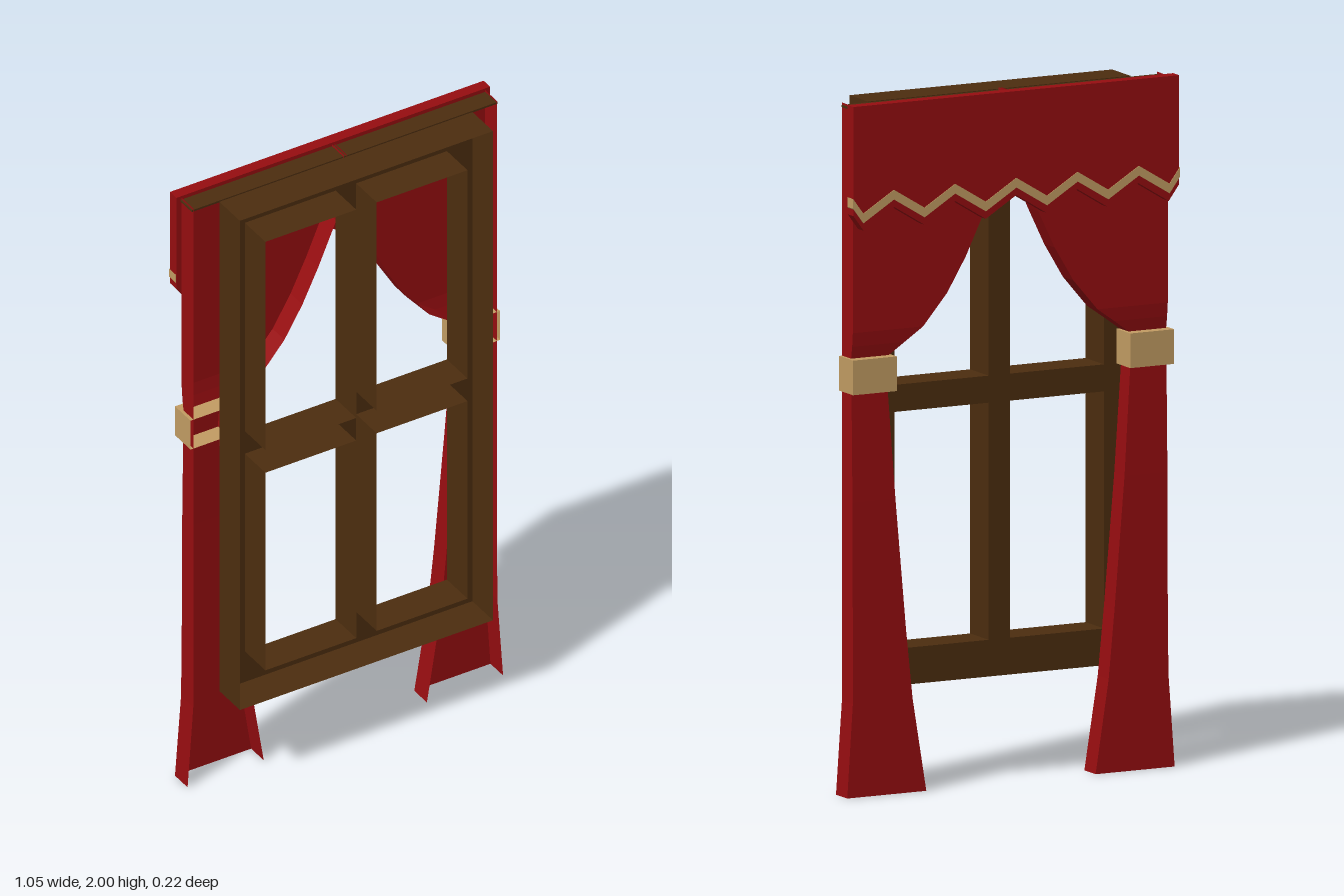
import * as THREE from 'three';

const mat = (name, color) => {
  const m = new THREE.MeshStandardMaterial({ color, side: THREE.DoubleSide });
  m.name = name;
  return m;
};

// Flat-shaded surface through rows of 3D points
function loft(rows) {
  const p = [];
  for (let i = 0; i + 1 < rows.length; i++) {
    for (let j = 0; j + 1 < rows[i].length; j++) {
      const a = rows[i][j], b = rows[i][j + 1], c = rows[i + 1][j + 1], d = rows[i + 1][j];
      p.push(...a, ...b, ...c, ...a, ...c, ...d);
    }
  }
  const g = new THREE.BufferGeometry();
  g.setAttribute('position', new THREE.Float32BufferAttribute(p, 3));
  g.computeVertexNormals();
  return g;
}

const rect = (x0, y0, x1, y1) => [[x0, y0], [x1, y0], [x1, y1], [x0, y1]];

// Wall along a closed outline from z0 to z1
const rim = (pts, z0, z1) =>
  loft([z0, z1].map(z => [...pts, pts[0]].map(([x, y]) => [x, y, z])));

const shapeOf = pts => new THREE.Shape(pts.map(([x, y]) => new THREE.Vector2(x, y)));

export function createModel() {
  const root = new THREE.Group();
  root.name = 'curtainedWindow';
  const wood = mat('darkWood', 0x4c2d0f);
  const cloth = mat('redCloth', 0x960d10);
  const trim = mat('tanTrim', 0xc29c63);

  const add = (parent, name, geo, material) => {
    const m = new THREE.Mesh(geo, material);
    m.name = name;
    parent.add(m);
    return m;
  };

  // Window frame: plate with four panes, walls open toward the front
  const frame = new THREE.Group();
  frame.name = 'windowFrame';
  root.add(frame);
  const zBack = -0.003, zFront = 0.108;
  const outline = rect(-0.422, 0.297, 0.422, 1.99);
  const plate = shapeOf(outline);
  add(frame, 'frameOuterWall', rim(outline, zBack, zFront), wood);
  for (const [x0, x1] of [[-0.337, -0.034], [0.034, 0.337]]) {
    for (const [y0, y1] of [[0.403, 1.087], [1.165, 1.886]]) {
      const pane = rect(x0, y0, x1, y1);
      plate.holes.push(shapeOf(pane));
      add(frame, 'paneWall', rim(pane, zBack, zFront), wood);
    }
  }
  add(frame, 'framePlate', new THREE.ShapeGeometry(plate).translate(0, 0, zBack), wood);

  // Thin board over the curtains
  add(root, 'curtainBoard', new THREE.BoxGeometry(1.02, 0.006, 0.062).translate(0, 1.986, -0.04), wood);

  // Curtains: U-shaped cross-sections, [y, inner x, outer x, back z]
  const rows = [
    [0, 0.272, 0.526, -0.074], [0.27, 0.315, 0.507, -0.072], [0.47, 0.335, 0.506, -0.07],
    [0.85, 0.368, 0.506, -0.068], [1.17, 0.39, 0.506, -0.062], [1.265, 0.385, 0.506, -0.06],
    [1.30, 0.337, 0.506, -0.066], [1.34, 0.28, 0.506, -0.07], [1.43, 0.203, 0.506, -0.07],
    [1.53, 0.143, 0.506, -0.07], [1.64, 0.09, 0.506, -0.07], [1.78, 0.03, 0.506, -0.07],
    [1.995, 0.004, 0.506, -0.07],
  ];
  for (const s of [1, -1]) {
    const side = s > 0 ? 'left' : 'right';
    add(root, side + 'Curtain', loft(rows.map(([y, xi, xo, z]) =>
      [[s * xi, y, -0.006], [s * xi, y, z], [s * xo, y, z], [s * xo, y, -0.006]])), cloth);

    // Tieback: shallow box open toward the front
    const tie = new THREE.Group();
    tie.name = side + 'Tieback';
    root.add(tie);
    const band = rect(s * 0.375, 1.165, s * 0.516, 1.265);
    add(tie, 'tiebackBand', rim(band, -0.09, -0.006), trim);
    add(tie, 'tiebackPlate', new THREE.ShapeGeometry(shapeOf(band)).translate(0, 0, -0.09), trim);
  }

  // Valance with a wavy lower edge and a matching trim band
  const W = 0.523, wave = [];
  const edge = x => 1.67 + 0.03 * Math.cos((2 * Math.PI * x) / 0.196);
  const N = 24;
  wave.push([-W, 1.685]);
  for (let i = -N / 2 + 2; i <= N / 2 - 2; i++) wave.push([i * 0.049, edge(i * 0.049)]);
  wave.push([W, 1.685]);
  const slab = (pts, z0, z1) => new THREE.ExtrudeGeometry(shapeOf(pts),
    { depth: z1 - z0, bevelEnabled: false }).translate(0, 0, z0);
  add(root, 'valance', slab([...wave, [W, 2], [-W, 2]], -0.106, -0.071), cloth);
  const lift = d => wave.map(([x, y]) => [x * 1.004, y + d]);
  add(root, 'valanceTrim', slab([...lift(0.022), ...lift(0.05).reverse()], -0.108, -0.073), trim);

  return root;
}
